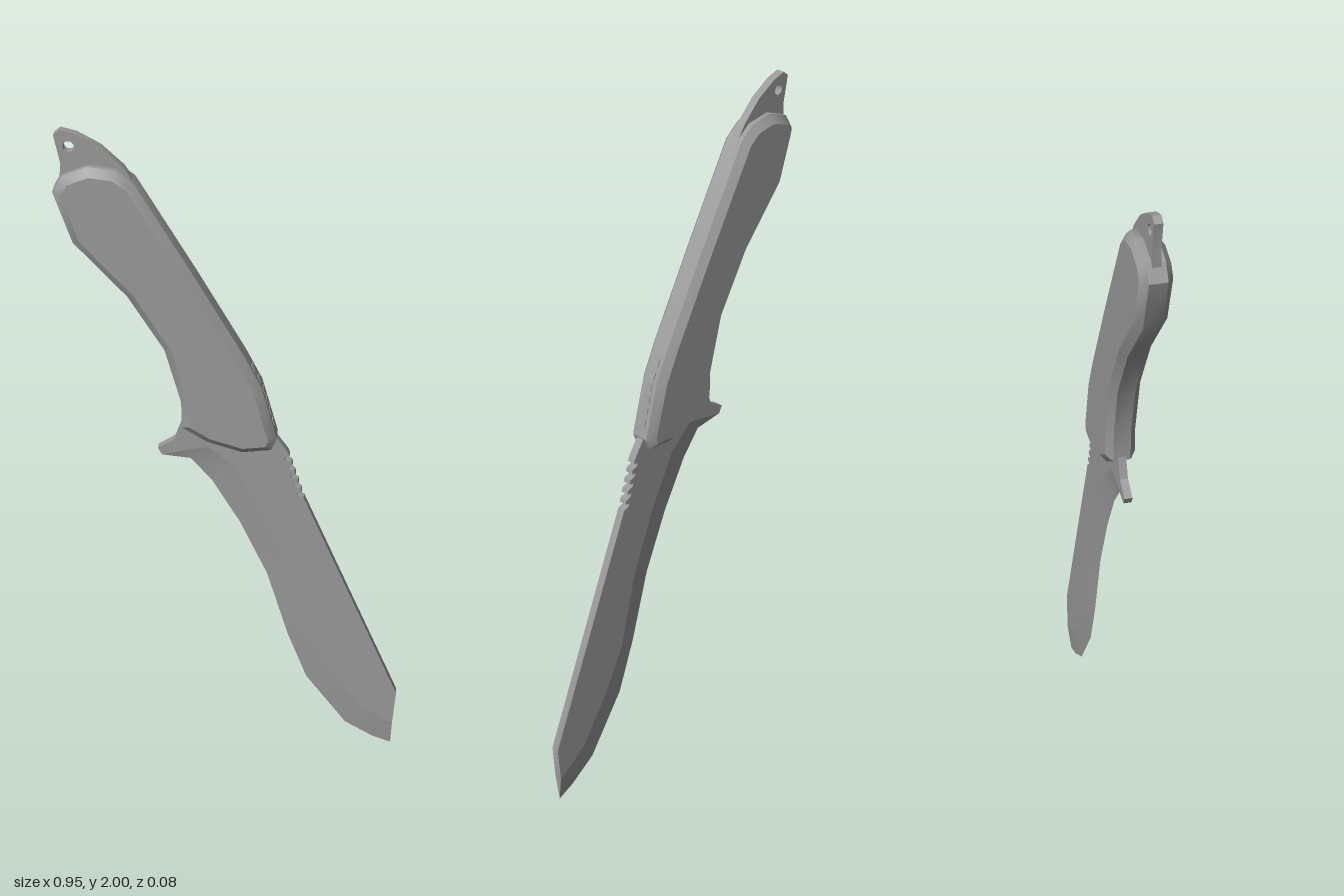
import * as THREE from 'three';
import { toCreasedNormals } from 'three/addons/utils/BufferGeometryUtils.js';

const T = 0.0112; // half thickness of the steel

const toShape = (pts) => new THREE.Shape(pts.map(([x, y]) => new THREE.Vector2(x, y)));

// Dark grey part, smooth along its outline with sharp edges kept
function part(name, geometry) {
  const mesh = new THREE.Mesh(toCreasedNormals(geometry, 0.6), new THREE.MeshStandardMaterial({ color: 0x9a9a9a }));
  mesh.name = name;
  return mesh;
}

// Ridge where the flat of the blade ends, and the cutting edge beside it, guard to tip
const ridge = [[-0.214, 1.038], [-0.087, 1.07], [-0.013, 1.006], [0.071, 0.848], [0.145, 0.663],
  [0.203, 0.43], [0.267, 0.304], [0.367, 0.156], [0.43, 0.112], [0.468, 0.09]];
const edge = [[-0.214, 1.038], [-0.135, 1.022], [-0.077, 0.953], [0.003, 0.811], [0.082, 0.631],
  [0.145, 0.41], [0.203, 0.251], [0.325, 0.077], [0.41, 0.024], [0.466, 0.003]];

// Thumb grip notches along the spine, listed from the blade up to the handle
function spineNotches() {
  const pts = [], count = 5;
  const at = (t, inset) => [0.183 - 0.045 * t - inset, 0.911 + 0.148 * t];
  for (let i = 0; i < count; i++) {
    pts.push(at(i / count, 0), at((i + 0.15) / count, 0.016),
      at((i + 0.45) / count, 0.016), at((i + 0.6) / count, 0));
  }
  pts.push(at(1, 0));
  return pts;
}

// Flat steel: blade body, guard, full tang and lanyard tab in one plate
function plateGeometry() {
  const shape = toShape([
    ...ridge, [0.475, 0.209], ...spineNotches(),
    [0.1, 1.115], [0.08, 1.12], [-0.01, 1.366], [-0.27, 1.868],
    [-0.293, 1.903], [-0.35, 1.957], [-0.41, 1.99], [-0.45, 2.0], [-0.467, 1.986],
    [-0.453, 1.91], [-0.46, 1.83], [-0.41, 1.7], [-0.272, 1.54], [-0.177, 1.381],
    [-0.14, 1.218], [-0.156, 1.149], [-0.177, 1.091], [-0.225, 1.059],
  ]);
  const hole = new THREE.Path();
  hole.absarc(-0.43, 1.956, 0.0145, 0, Math.PI * 2, true);
  shape.holes.push(hole);
  const geometry = new THREE.ExtrudeGeometry(shape, { depth: 2 * T, bevelEnabled: false, curveSegments: 10 });
  return geometry.translate(0, 0, -T);
}

// Ground bevel: wedge sections swept from the guard to the tip
function edgeGeometry() {
  const pos = [], index = [], last = ridge.length - 1;
  ridge.forEach(([rx, ry], i) => {
    const [ex, ey] = edge[i], e = i === 0 ? T : 0;
    pos.push(rx, ry, T, ex, ey, e, ex, ey, -e, rx, ry, -T);
  });
  for (let i = 0; i < last; i++) {
    for (let k = 0; k < 3; k++) {
      // The middle strip only has area at the blunt start of the edge
      if (k === 1 && i > 0) continue;
      const a = i * 4 + k;
      if (i > 0 || k === 1) index.push(a, a + 1, a + 4);
      if (i > 0) index.push(a + 1, a + 5, a + 4);
      else if (k !== 1) index.push(a, a + 5, a + 4);
    }
  }
  index.push(last * 4 + 1, last * 4 + 3, last * 4); // tip cap
  const geometry = new THREE.BufferGeometry();
  geometry.setAttribute('position', new THREE.Float32BufferAttribute(pos, 3));
  geometry.setIndex(index);
  return geometry;
}

// Handle grip with one chamfer all round
function gripGeometry() {
  const shape = toShape([
    [0.09, 1.075], [0.106, 1.112], [0.062, 1.276], [0.018, 1.366], [-0.114, 1.603],
    [-0.267, 1.867], [-0.31, 1.9], [-0.383, 1.908], [-0.45, 1.88], [-0.476, 1.836],
    [-0.43, 1.693], [-0.293, 1.54], [-0.198, 1.381], [-0.156, 1.218], [-0.156, 1.138],
    [-0.087, 1.094], [0.01, 1.064],
  ]);
  const geometry = new THREE.ExtrudeGeometry(shape, {
    depth: 0.048, bevelEnabled: true, bevelSegments: 1,
    bevelThickness: 0.018, bevelSize: 0.022, bevelOffset: -0.022,
  });
  return geometry.translate(0, 0, -0.024);
}

export function createModel() {
  const model = new THREE.Group();
  model.name = 'knife';
  model.add(part('bladePlate', plateGeometry()));
  model.add(part('cuttingEdge', edgeGeometry()));
  model.add(part('handleGrip', gripGeometry()));

  // Small grip teeth, almost flush with the back of the handle
  const teeth = new THREE.Group();
  teeth.name = 'handleTeeth';
  for (let i = 0; i < 6; i++) {
    const y = 1.155 + 0.033 * i;
    const low = y < 1.276;
    const slope = low ? 0.268 : 0.489;
    const x = low ? 0.106 - (y - 1.112) * slope : 0.062 - (y - 1.276) * slope;
    const tooth = part('handleTooth', new THREE.BoxGeometry(0.02, 0.02, 2 * T));
    tooth.position.set(x - 0.008, y, 0);
    tooth.rotation.z = Math.atan(slope);
    teeth.add(tooth);
  }
  model.add(teeth);
  return model;
}
